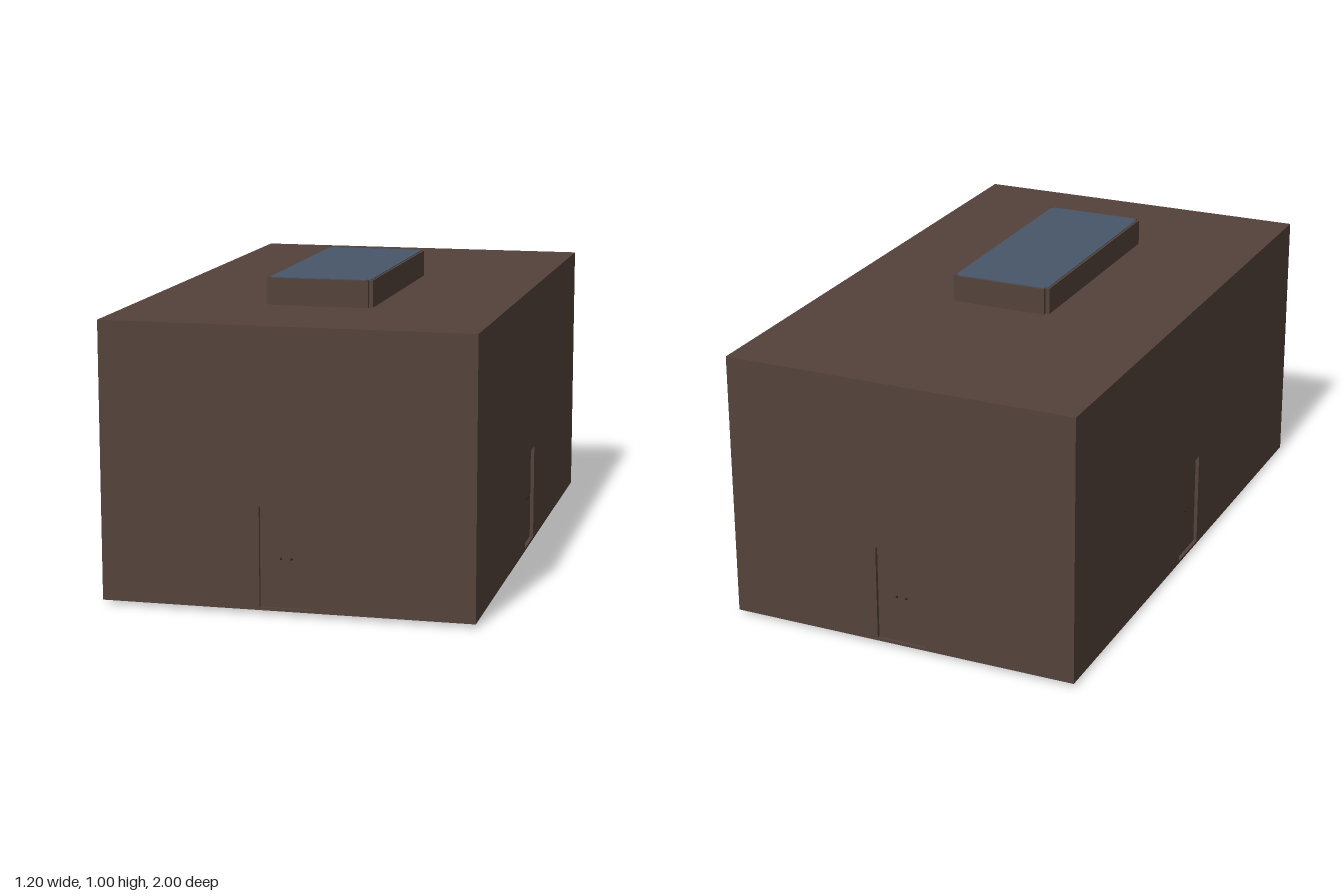
import * as THREE from 'three';

const brown = new THREE.MeshStandardMaterial({ color: 0x54423b });
brown.name = 'brown panel';
const glass = new THREE.MeshStandardMaterial({ color: 0x48566a });
glass.name = 'blue glass';
const dark = new THREE.MeshStandardMaterial({ color: 0x2e2420 });
dark.name = 'dark metal';

const FLOOR = 0.022, ROOF = 0.91, WALL = 0.04;
const DOOR_W = 0.17, DOOR_TOP = 0.345, RECESS = 0.012;

function add(parent, name, geometry, material, x = 0, y = 0, z = 0) {
  const mesh = new THREE.Mesh(geometry, material);
  mesh.name = name;
  mesh.position.set(x, y, z);
  parent.add(mesh);
  return mesh;
}

const box = (w, h, d) => new THREE.BoxGeometry(w, h, d);

// Wall with a doorway, a recessed double door and two knobs; faces local +z
function makeWall(name, width, distance, angle) {
  const group = new THREE.Group();
  group.name = name;
  const w = width / 2, d = DOOR_W / 2;
  const outline = new THREE.Shape([
    [-w, FLOOR], [-d, FLOOR], [-d, DOOR_TOP], [d, DOOR_TOP],
    [d, FLOOR], [w, FLOOR], [w, ROOF - WALL], [-w, ROOF - WALL],
  ].map(([x, y]) => new THREE.Vector2(x, y)));
  add(group, 'wallPanel', new THREE.ExtrudeGeometry(outline, { depth: WALL, bevelEnabled: false }),
    brown, 0, 0, distance - WALL);
  for (const s of [-1, 1]) {
    add(group, 'doorLeaf', box(d, DOOR_TOP - FLOOR, 0.016), brown,
      s * d / 2, (DOOR_TOP + FLOOR) / 2, distance - RECESS - 0.008);
    add(group, 'doorKnob', new THREE.SphereGeometry(0.004, 10, 8), dark,
      s * 0.017, 0.18, distance - RECESS + 0.003);
  }
  group.rotation.y = angle;
  return group;
}

// Rectangle with small square notches at its corners, laid flat
function notchedSlab(w, d, notch, height) {
  const x = w / 2, z = d / 2, n = notch;
  const shape = new THREE.Shape([
    [-x + n, -z], [x - n, -z], [x - n, -z + n], [x, -z + n],
    [x, z - n], [x - n, z - n], [x - n, z], [-x + n, z],
    [-x + n, z - n], [-x, z - n], [-x, -z + n], [-x + n, -z + n],
  ].map(([a, b]) => new THREE.Vector2(a, b)));
  return new THREE.ExtrudeGeometry(shape, { depth: height, bevelEnabled: false }).rotateX(-Math.PI / 2);
}

export function createModel() {
  const model = new THREE.Group();
  model.name = 'building';

  // Floor and roof
  add(model, 'floor', box(1.2, 0.009, 2), brown, 0, FLOOR - 0.0045, 0);
  add(model, 'roof', box(1.2, WALL, 2), brown, 0, ROOF - WALL / 2, 0);

  // Four walls
  model.add(makeWall('frontWall', 1.2 - 2 * WALL, 1, 0));
  model.add(makeWall('backWall', 1.2 - 2 * WALL, 1, Math.PI));
  model.add(makeWall('leftWall', 2, 0.6, Math.PI / 2));
  model.add(makeWall('rightWall', 2, 0.6, -Math.PI / 2));

  // Skylight
  const skylight = new THREE.Group();
  skylight.name = 'skylight';
  skylight.position.set(0, ROOF, 0.165);
  add(skylight, 'skylightFrame', notchedSlab(0.35, 0.82, 0.014, 0.088), brown);
  add(skylight, 'skylightGlass', notchedSlab(0.334, 0.804, 0.01, 0.003), glass, 0, 0.087, 0);
  model.add(skylight);

  // Small tilted plate under the floor
  const plate = add(model, 'underPlate', box(0.214, 0.003, 0.028), brown, 0, 0.0085, -0.062);
  plate.rotation.x = 0.5;

  return model;
}
